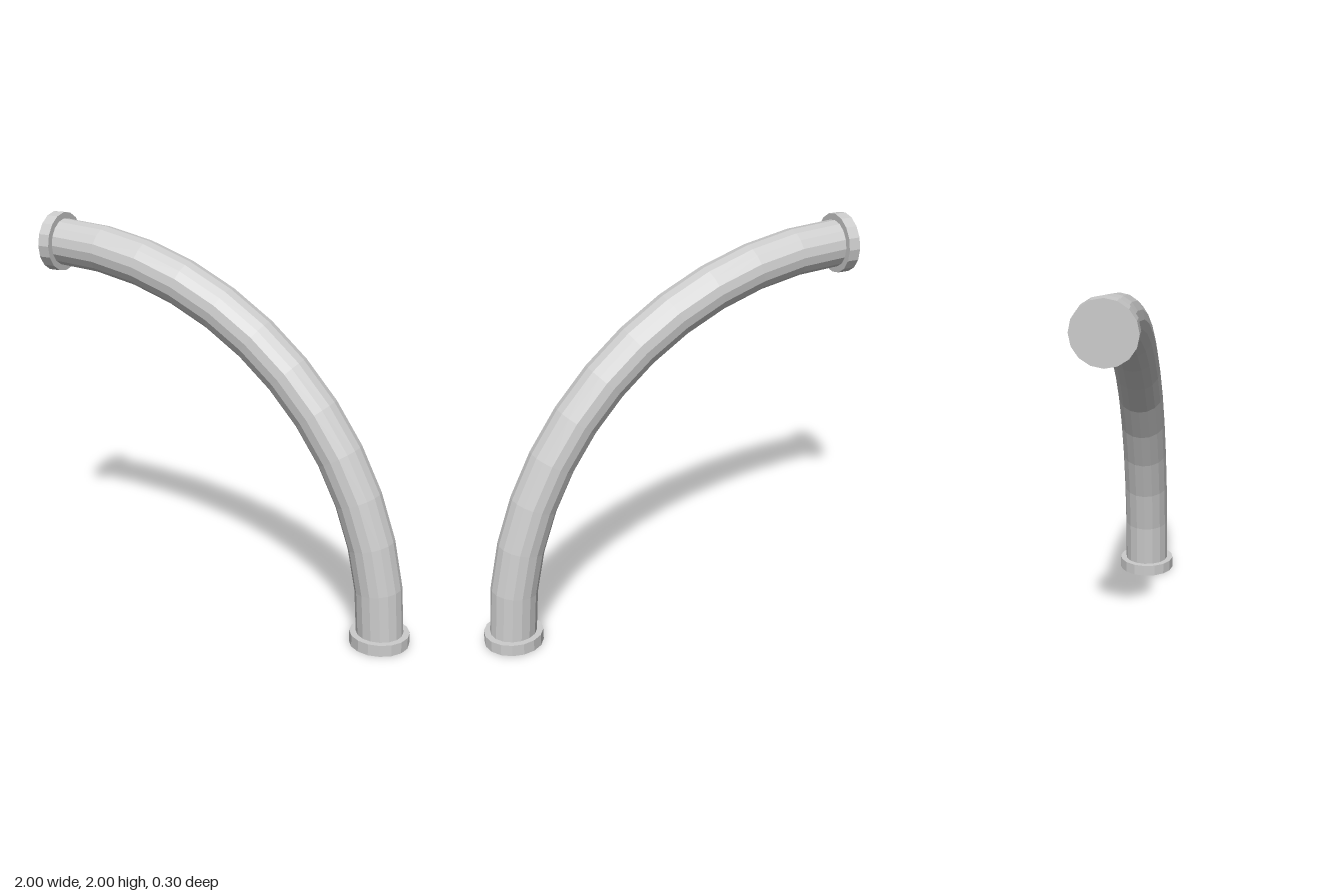
import * as THREE from 'three';

export function createModel() {
  const group = new THREE.Group();
  const material = new THREE.MeshStandardMaterial({ color: 0xcccccc, flatShading: true });
  const sides = 16, bendRadius = 1.79, pipeRadius = 0.118;
  const flangeRadius = 0.15, flangeHeight = 0.06;

  const add = (name, geometry, x, y) => {
    const mesh = new THREE.Mesh(geometry, material);
    mesh.name = name;
    mesh.position.set(x, y, 0);
    group.add(mesh);
    return mesh;
  };

  // Quarter bend, from the lower flange up to the side flange
  add('pipeBend',
    new THREE.TorusGeometry(bendRadius, pipeRadius, sides, 12, Math.PI / 2),
    flangeHeight - 1, flangeHeight);

  // Closed flange discs on both ends
  const flange = new THREE.CylinderGeometry(flangeRadius, flangeRadius, flangeHeight, sides);
  add('lowerFlange', flange, 1 - flangeRadius, flangeHeight / 2);
  add('upperFlange', flange, -1 + flangeHeight / 2, 2 - flangeRadius).rotation.z = Math.PI / 2;

  return group;
}
